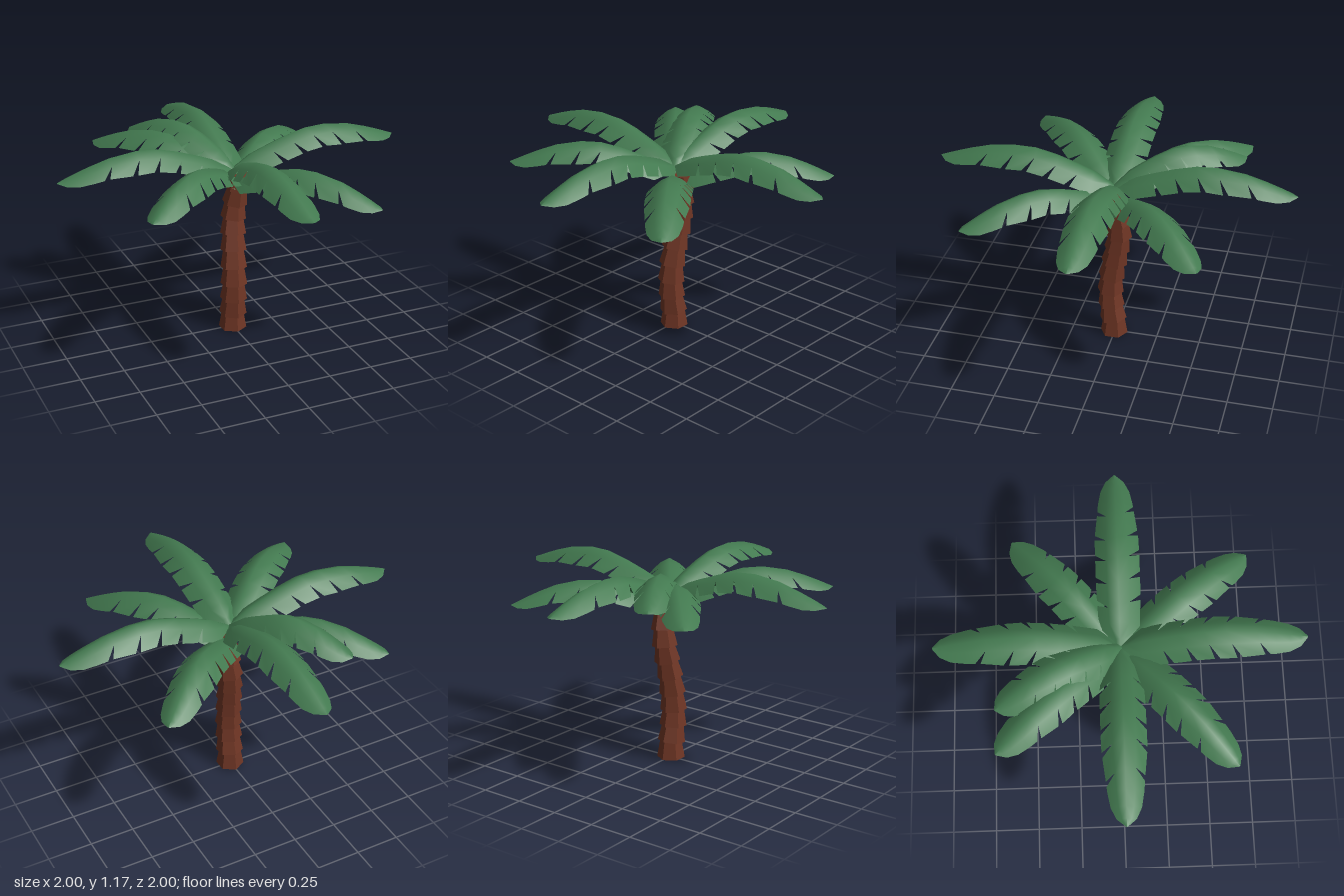
import * as THREE from 'three';
import { mergeVertices } from 'three/addons/utils/BufferGeometryUtils.js';

const lerpTable = (table, r) => {
  let i = 0;
  while (i < table.length - 2 && r > table[i + 1][0]) i++;
  const [a, b] = [table[i], table[i + 1]];
  return a[1] + (b[1] - a[1]) * (r - a[0]) / (b[0] - a[0]);
};

// Leaf rules: ridge height and half width along the leaf
const RIDGE = [[-0.03, -0.02], [0.03, 0.02], [0.13, 0.085], [0.3, 0.15], [0.42, 0.187], [0.53, 0.2], [0.7, 0.18], [0.85, 0.135], [1, 0.075]];
const WIDTH = [[-0.03, 0.03], [0.03, 0.035], [0.12, 0.11], [0.3, 0.12], [0.6, 0.12], [0.74, 0.103], [0.85, 0.092], [0.92, 0.075], [0.97, 0.045], [1, 0.004]];
const STATIONS = [-0.03, 0.04, 0.12, 0.2, 0.32, 0.44, 0.56, 0.71, 0.82, 0.9, 0.96, 1];
const FIRST_CUT = 3, LAST_CUT = 7;

// Arched leaf with slanted cuts along both drooping edges
function frondGeometry() {
  const pos = [];
  const point = (r, u, side) => {
    const w = lerpTable(WIDTH, Math.min(r, 1)) * u;
    return [r, lerpTable(RIDGE, r) - 0.3 * w - 4 * w * w, w * side];
  };
  const quad = (a, b, c, d, side) => {
    const order = side > 0 ? [a, b, c, a, c, d] : [a, c, b, a, d, c];
    for (const p of order) pos.push(...p);
  };
  for (const side of [1, -1]) {
    const isCut = (i) => i >= FIRST_CUT && i <= LAST_CUT;
    const mid = (i) => STATIONS[i] + (isCut(i) && side > 0 ? 0.025 : 0);
    for (let i = 0; i < STATIONS.length - 1; i++) {
      const [r0, r1, m0, m1] = [STATIONS[i], STATIONS[i + 1], mid(i), mid(i + 1)];
      // inner strip beside the ridge
      quad(point(r0, 0, side), point(m0, 0.5, side), point(m1, 0.5, side), point(r1, 0, side), side);
      // outer strip: teeth lean toward the tip
      const e0 = m0 + (isCut(i) ? 0.058 : 0);
      const e1 = m1 + (isCut(i + 1) ? 0.03 : 0);
      quad(point(m0, 0.5, side), point(e0, 1, side), point(e1, 1, side), point(m1, 0.5, side), side);
    }
  }
  let geo = new THREE.BufferGeometry();
  geo.setAttribute('position', new THREE.Float32BufferAttribute(pos, 3));
  geo = mergeVertices(geo, 1e-4);
  geo.computeVertexNormals();
  return geo;
}

export function createModel() {
  const model = new THREE.Group();
  model.name = 'palmTree';

  const bark = new THREE.MeshStandardMaterial({ color: 0x6e3524, flatShading: true });
  bark.name = 'bark brown';
  const leaf = new THREE.MeshStandardMaterial({ color: 0x437a50, side: THREE.DoubleSide });
  leaf.name = 'leaf green';

  // Trunk: stacked six-sided rings, each flaring at its lower rim
  const path = [
    [0, 0, 0], [0, 0.095, 0.01], [-0.002, 0.19, 0.022], [-0.002, 0.285, 0.027], [0, 0.385, 0.02],
    [0.005, 0.485, 0.004], [0.011, 0.58, -0.014], [0.018, 0.67, -0.029], [0.027, 0.76, -0.028],
    [0.037, 0.85, -0.012], [0.043, 0.935, 0.0],
  ].map((p) => new THREE.Vector3(...p));
  const trunk = new THREE.Group();
  trunk.name = 'trunk';
  const up = new THREE.Vector3(0, 1, 0);
  for (let i = 0; i < path.length - 1; i++) {
    const dir = path[i + 1].clone().sub(path[i]);
    const h = dir.length() + 0.006;
    const r = 0.08 - 0.001 * i;
    const ring = new THREE.Mesh(new THREE.CylinderGeometry(r - 0.018, r, h, 6), bark);
    ring.name = 'trunkRing';
    ring.position.copy(path[i]).add(path[i + 1]).multiplyScalar(0.5);
    if (i > 0) ring.quaternion.setFromUnitVectors(up, dir.normalize());
    trunk.add(ring);
  }
  model.add(trunk);

  // Crown: direction x, z, reach, base height, pitch
  const fronds = [
    [1, 0, 1, 0.97, 0], [-1, 0, 1, 0.97, 0], [0, 1, 1, 0.97, 0], [0, -1, 1, 0.97, 0],
    [0.53, 0.69, 0.9, 0.89, -0.06], [0.64, -0.56, 0.88, 0.89, -0.05],
    [-0.67, 0.58, 0.91, 0.93, -0.01], [-0.57, -0.65, 0.89, 0.94, -0.01], [-0.35, -0.65, 0.76, 0.98, 0],
  ];
  const crown = new THREE.Group();
  crown.name = 'crown';
  const geo = frondGeometry();
  for (const [x, z, reach, y, pitch] of fronds) {
    const frond = new THREE.Mesh(geo, leaf);
    frond.name = 'frond';
    frond.position.set(0, y, 0);
    frond.rotation.set(0, Math.atan2(-z, x), pitch);
    frond.scale.set(reach, 0.95, 1);
    crown.add(frond);
  }
  model.add(crown);
  return model;
}
